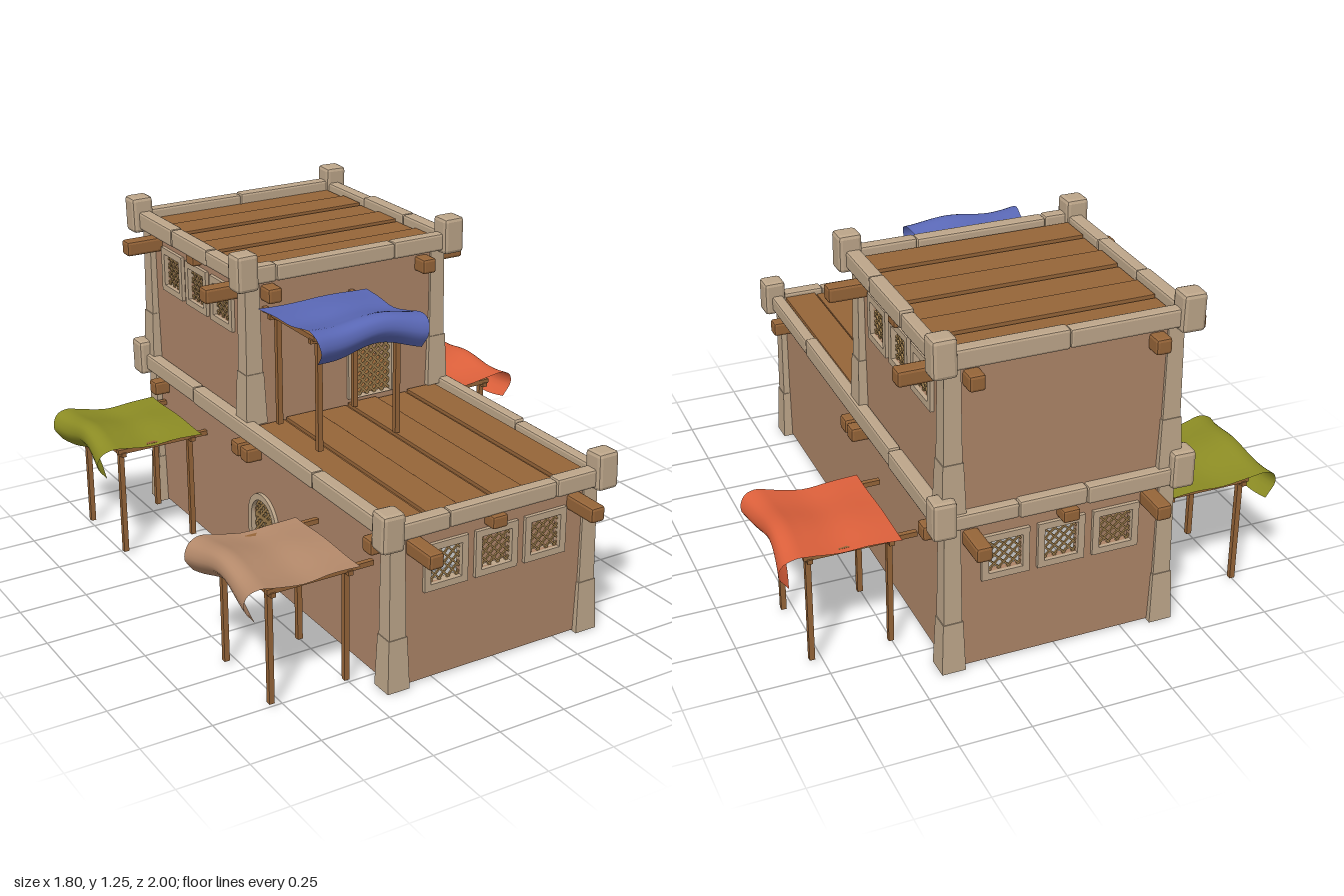
import * as THREE from 'three';
import { RoundedBoxGeometry } from 'three/addons/geometries/RoundedBoxGeometry.js';

const mat = (name, color, side = THREE.FrontSide) => {
  const m = new THREE.MeshStandardMaterial({ color, side });
  m.name = name;
  return m;
};

export function createModel() {
  const plaster = mat('plaster', 0xad8568, THREE.DoubleSide);
  const stone = mat('stone', 0xbda68a);
  const wood = mat('wood', 0x966539);
  const latticeWood = mat('lattice wood', 0x9c7c4c);
  const cloths = {
    blue: mat('blue cloth', 0x5a68b6, THREE.DoubleSide),
    red: mat('red cloth', 0xdc603b, THREE.DoubleSide),
    green: mat('olive cloth', 0x8c8c24, THREE.DoubleSide),
    beige: mat('beige cloth', 0xb58a6b, THREE.DoubleSide),
  };
  const model = new THREE.Group();
  model.name = 'house';

  let seed = 7;
  const rand = (a) => ((seed = (seed * 16807) % 2147483647) / 2147483647 - 0.5) * 2 * a;

  const add = (parent, name, geometry, material, x = 0, y = 0, z = 0) => {
    const mesh = new THREE.Mesh(geometry, material);
    mesh.name = name;
    mesh.position.set(x, y, z);
    parent.add(mesh);
    return mesh;
  };
  const group = (name, x, y, z, turn) => {
    const g = new THREE.Group();
    g.name = name;
    g.position.set(x, y, z);
    g.rotation.y = turn;
    model.add(g);
    return g;
  };
  // Box with a flat chamfer along its edges
  const chamferBox = (w, h, d, r) => {
    const g = new RoundedBoxGeometry(w, h, d, 1, r);
    g.computeVertexNormals();
    return g;
  };
  // Box given by its limits
  const span = (name, x0, x1, y0, y1, z0, z1, material = wood, r = 0.006) =>
    add(model, name, chamferBox(x1 - x0, y1 - y0, z1 - z0, r), material,
      (x0 + x1) / 2, (y0 + y1) / 2, (z0 + z1) / 2);

  // Openings: square window or round-topped door, grown or shrunk by e
  const outline = (o, e, target) => {
    const hw = o.w / 2 + e, b = o.y - (o.arch ? 0 : e), t = o.y + o.h + e;
    target.moveTo(o.x - hw, b);
    target.lineTo(o.x + hw, b);
    if (o.arch) {
      target.lineTo(o.x + hw, o.y + o.h);
      target.absarc(o.x, o.y + o.h, hw, 0, Math.PI, false);
    } else {
      target.lineTo(o.x + hw, t);
      target.lineTo(o.x - hw, t);
    }
    target.closePath();
    return target;
  };
  const inside = (o, u, v) => {
    if (Math.abs(u - o.x) > o.w / 2 || v < o.y) return false;
    return v <= o.y + o.h || (!!o.arch && Math.hypot(u - o.x, v - o.y - o.h) < o.w / 2);
  };
  const bar = (parent, x0, y0, x1, y1, t) => {
    const m = add(parent, 'latticeBar', new THREE.BoxGeometry(Math.hypot(x1 - x0, y1 - y0), t, 0.006),
      latticeWood, (x0 + x1) / 2, (y0 + y1) / 2, -0.006);
    m.rotation.z = Math.atan2(y1 - y0, x1 - x0);
  };
  const fillOpening = (parent, o) => {
    const frame = outline(o, 0.024, new THREE.Shape());
    frame.holes.push(outline(o, 0, new THREE.Path()));
    const name = o.arch ? 'doorFrame' : 'windowFrame';
    add(parent, name, new THREE.ExtrudeGeometry(frame, { depth: 0.035, bevelEnabled: false, curveSegments: 12 }),
      stone, 0, 0, -0.022);
    // Diagonal bars cut off at the opening's edge
    const step = o.arch ? 0.032 : 0.034;
    for (const s of [1, -1]) {
      for (let c = -0.48; c <= 0.48; c += step) {
        let first = null, last = null;
        for (let k = 0; k <= 200; k++) {
          const u = o.x - o.w / 2 + (o.w * k) / 200;
          const v = o.y + o.h / 2 + s * (u - o.x) + c;
          if (inside(o, u, v)) {
            first = first || [u, v];
            last = [u, v];
          }
        }
        if (first && last[0] - first[0] > 0.008) bar(parent, ...first, ...last, o.arch ? 0.009 : 0.006);
      }
    }
    if (o.arch) bar(parent, o.x - o.w / 2, o.y + o.h, o.x + o.w / 2, o.y + o.h, 0.016);
  };
  // Wall facing local +z, with its openings
  const wall = (name, x, z, turn, width, y0, y1, openings = []) => {
    const g = group(name, x, 0, z, turn);
    const s = new THREE.Shape([[-1, y0], [1, y0], [1, y1], [-1, y1]].map(([a, b]) => new THREE.Vector2((a * width) / 2, b)));
    openings.forEach((o) => s.holes.push(outline(o, 0, new THREE.Path())));
    add(g, 'plasterWall', new THREE.ExtrudeGeometry(s, { depth: 0.02, bevelEnabled: false }), plaster, 0, 0, -0.02);
    openings.forEach((o) => fillOpening(g, o));
  };
  const windows = (y) => [-0.198, 0, 0.198].map((x) => ({ x, y: y - 0.06, w: 0.12, h: 0.12 }));
  const door = (x, y) => ({ x, y, w: 0.16, h: 0.235, arch: true });

  const Q = Math.PI / 2, midX = -0.01;
  wall('lowerFrontWall', midX, 0.865, 0, 0.78, 0.005, 0.58, windows(0.413));
  wall('lowerBackWall', midX, -0.88, 2 * Q, 0.78, 0.005, 0.58, windows(0.413));
  wall('lowerLeftWall', 0.38, -0.0075, Q, 1.745, 0.005, 0.58);
  wall('lowerRightWall', -0.4, -0.0075, -Q, 1.745, 0.005, 0.58, [door(0.01, 0.012)]);
  wall('upperFrontWall', midX, -0.075, 0, 0.78, 0.58, 1.15, [door(0.105, 0.612)]);
  wall('upperBackWall', midX, -0.88, 2 * Q, 0.78, 0.58, 1.15);
  wall('upperLeftWall', 0.38, -0.4725, Q, 0.805, 0.58, 1.15, windows(0.993));
  wall('upperRightWall', -0.4, -0.4725, -Q, 0.805, 0.58, 1.15, windows(0.993));

  // Corner pillars: flared foot, slimmer shaft and a heavy cap
  const taper = (name, x, y, z, h, bottom, top) => {
    const g = new THREE.CylinderGeometry(top * Math.SQRT2, bottom * Math.SQRT2, h, 4).rotateY(Math.PI / 4).toNonIndexed();
    g.computeVertexNormals();
    add(model, name, g, stone, x, y + h / 2, z);
  };
  const pillar = (side, z, y, height, capZ) => {
    const x = midX + side * 0.383;
    taper('pillarFoot', x, y, z, 0.19, 0.042, 0.035);
    taper('pillarShaft', x, y + 0.19, z, height - 0.19, 0.032, 0.028);
    const cap = add(model, 'pillarCap', chamferBox(0.084, 0.135, 0.08, 0.014), stone,
      midX + side * 0.422, y + height + 0.05 + rand(0.01), capZ);
    cap.rotation.set(rand(0.03), rand(0.05), rand(0.03));
  };
  for (const side of [-1, 1]) {
    pillar(side, 0.845, 0, 0.55, 0.878);
    pillar(side, -0.86, 0, 0.55, -0.893);
    pillar(side, -0.095, 0.6, 0.52, -0.055);
    pillar(side, -0.86, 0.6, 0.52, -0.893);
  }

  // Parapets, each laid in uneven stone blocks
  const parapet = (alongX, fixed, from, to, y, splits) => {
    const cuts = [0, ...splits, 1].map((t) => from + (to - from) * t);
    for (let i = 0; i < cuts.length - 1; i++) {
      const w = 0.024 + rand(0.003), y0 = y + rand(0.004), y1 = y + 0.064 + rand(0.005);
      const a = cuts[i], b = cuts[i + 1];
      if (alongX) span('parapetBlock', a, b, y0, y1, fixed - w, fixed + w, stone, 0.009);
      else span('parapetBlock', fixed - w, fixed + w, y0, y1, a, b, stone, 0.009);
    }
  };
  parapet(true, 0.874, -0.41, 0.39, 0.548, [0.25, 0.78]);
  parapet(true, -0.89, -0.41, 0.39, 0.55, [0.4, 0.7]);
  parapet(true, -0.055, -0.41, 0.39, 1.127, [0.12, 0.72]);
  parapet(true, -0.89, -0.41, 0.39, 1.127, [0.5]);
  for (const x of [-0.425, 0.403]) {
    parapet(false, x, -0.87, 0.86, 0.553, [0.24, 0.75]);
    parapet(false, x, -0.87, -0.07, 1.125, [0.35, 0.7]);
  }

  // Roof decks with raised boards
  span('lowerDeck', -0.4, 0.38, 0.565, 0.585, -0.875, 0.86, wood, 0.002);
  span('upperDeck', -0.4, 0.38, 1.13, 1.15, -0.875, -0.08, wood, 0.002);
  for (let i = 0; i < 6; i++) {
    const lift = (i % 2) * 0.008;
    const x = -0.395 + i * 0.1285, z = -0.865 + i * 0.13;
    span('lowerBoard', x, x + 0.12, 0.58, 0.59 + lift, -0.07, 0.85, wood, 0.002);
    span('upperBoard', -0.395, 0.375, 1.145, 1.157 + lift, z, z + 0.122, wood, 0.002);
  }

  // Beams running through the walls
  for (const x of [-0.328, 0.308]) {
    span('lowerLongBeam', x - 0.028, x + 0.028, 0.477, 0.532, -1, 1, wood, 0.01);
    span('upperLongBeam', x - 0.028, x + 0.028, 1.052, 1.108, -0.935, -0.015, wood, 0.01);
  }
  for (const z of [0.79, -0.04, -0.11, -0.79]) span('lowerCrossBeam', -0.46, 0.445, 0.477, 0.532, z - 0.028, z + 0.028, wood, 0.01);
  for (const z of [-0.155, -0.795]) span('upperCrossBeam', -0.542, 0.525, 1.052, 1.108, z - 0.028, z + 0.028, wood, 0.01);
  span('upperMiddleBeam', -0.435, 0.415, 1.085, 1.125, -0.5, -0.442, wood, 0.008);
  span('lowerMiddleBeam', -0.055, 0.005, 0.507, 0.552, -0.935, 0.915, wood, 0.008);

  // Awnings: a post frame under a cloth whose outer edge hangs and curls in
  const profile = new THREE.CatmullRomCurve3(
    [[0, 0], [0.1, 0.003], [0.2, 0], [0.3, 0.02], [0.355, 0.032], [0.395, 0.018], [0.408, -0.025], [0.372, -0.075]]
      .map(([z, y]) => new THREE.Vector3(0, y, z)));
  const awning = (name, cloth, x, y, z, turn, phase) => {
    const g = group(name, x, y, z, turn);
    for (const pz of [0.025, 0.305]) {
      for (const px of [-0.155, 0.155]) add(g, 'post', new THREE.BoxGeometry(0.019, 0.41, 0.019), wood, px, 0.205, pz);
      add(g, 'crossBar', new THREE.BoxGeometry(0.38, 0.016, 0.018), wood, 0, 0.404, pz);
    }
    for (const px of [-0.175, 0.175]) add(g, 'sideBar', new THREE.BoxGeometry(0.018, 0.018, 0.39), wood, px, 0.416, 0.13);
    const sheet = new THREE.PlaneGeometry(1, 1, 16, 24);
    const p = sheet.attributes.position;
    for (let i = 0; i < p.count; i++) {
      const u = p.getX(i) * 2, t = 0.5 - p.getY(i);
      const c = profile.getPoint(t);
      const wave = Math.sin(u * 4 + phase) * 0.009 * (0.3 + t);
      p.setXYZ(i, u * (0.213 + 0.008 * Math.cos(t * 9 + phase)),
        0.432 + c.y + wave - 0.012 * t * u * u,
        c.z - 0.022 * t * t * Math.cos(u * 1.6) + 0.012 * t * u * u);
    }
    sheet.computeVertexNormals();
    add(g, 'cloth', sheet, cloth);
  };
  awning('terraceAwning', cloths.blue, -0.168, 0.605, -0.04, 0, 0.5);
  awning('leftAwning', cloths.red, 0.482, 0.012, -0.51, Q, 0.8);
  awning('rightBackAwning', cloths.green, -0.437, 0.012, -0.628, -Q, 1.2);
  awning('rightFrontAwning', cloths.beige, -0.484, 0.012, 0.59, -Q, 2);

  return model;
}
